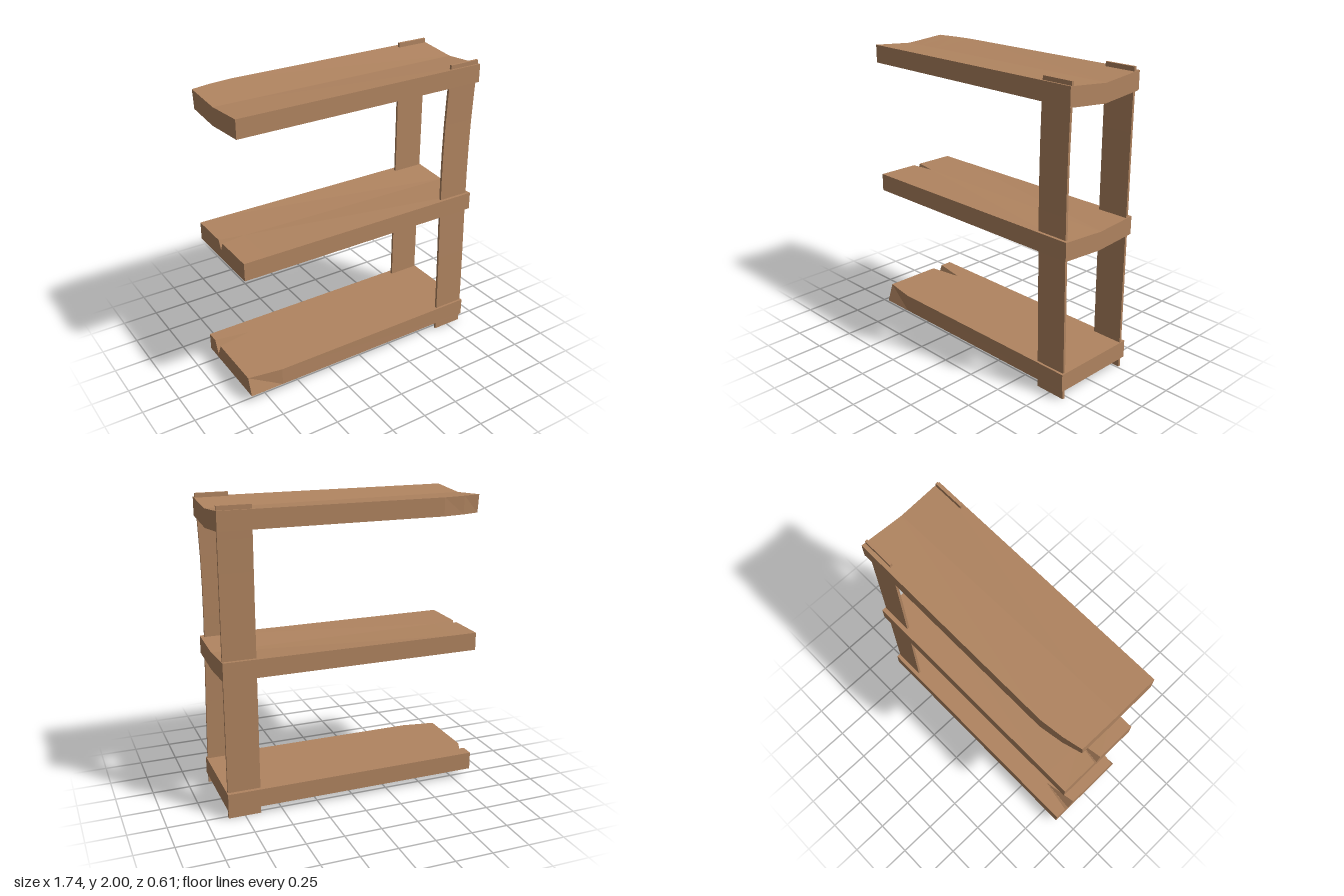
import * as THREE from 'three';

// Skin a row of cross-sections (each a loop of [z, y], anticlockwise seen from +x) laid along x.
function loft(sections) {
  const pos = [];
  const tri = (a, b, c) => {
    const area = b.clone().sub(a).cross(c.clone().sub(a)).length();
    if (area > 1e-7) for (const p of [a, b, c]) pos.push(p.x, p.y, p.z);
  };
  const rings = sections.map(s => s.loop.map(([z, y]) => new THREE.Vector3(s.x, y, z)));
  const n = rings[0].length;
  for (let i = 0; i + 1 < rings.length; i++) {
    for (let j = 0; j < n; j++) {
      const k = (j + 1) % n, a = rings[i], b = rings[i + 1];
      tri(a[j], a[k], b[k]);
      tri(a[j], b[k], b[j]);
    }
  }
  // End caps
  const cap = (ring, flip) => {
    const outline = ring.map(p => new THREE.Vector2(-p.z, p.y));
    for (const [a, b, c] of THREE.ShapeUtils.triangulateShape(outline, [])) {
      if (flip) tri(ring[a], ring[c], ring[b]);
      else tri(ring[a], ring[b], ring[c]);
    }
  };
  cap(rings[0], true);
  cap(rings[rings.length - 1], false);
  const geo = new THREE.BufferGeometry();
  geo.setAttribute('position', new THREE.Float32BufferAttribute(pos, 3));
  geo.computeVertexNormals();
  return geo;
}

const X0 = -0.87, X1 = 0.865, HALF = 0.305, THICK = 0.12;

// One plank: sag is its dip along the middle, split is the crack in the free end.
function shelfGeometry({ top, sag, split, chip = () => 0, bevel = 0, stations }) {
  return loft(stations.map(x => {
    const t = (x - X0) / (X1 - X0);
    const dip = sag[0] + (sag[1] - sag[0]) * t;
    const open = split ? Math.max(0, 1 - (x - X0) / split.length) : 0;
    const mid = split ? split.z : 0.02 * (1 - t);
    const w = split ? 0.5 * split.width * open : 0;
    const d = split ? split.depth * open : 0;
    const back = -HALF + chip(x);
    const front = HALF - bevel * Math.max(0, 1 - (x - X0) / 0.24);
    const y = top - dip;
    return { x, loop: [
      [back, top], [mid - w - 0.002, y], [mid, y - d], [mid + w + 0.002, y], [front, top],
      [HALF, top - THICK], [0, top - THICK - dip], [back + 0.3 * chip(x), top - THICK],
    ] };
  }));
}

// Thin upright board, bowed slightly along its height.
function postGeometry(z, bowX, bowZ) {
  const geo = new THREE.BoxGeometry(0.215, 2, 0.017, 1, 10, 1).toNonIndexed();
  const p = geo.attributes.position;
  for (let i = 0; i < p.count; i++) {
    const y = p.getY(i) + 1;
    const bend = Math.sin(Math.PI * Math.pow(y / 2, 1.7));
    p.setXYZ(i, p.getX(i) + 0.752 - bowX * bend, y, p.getZ(i) + z + bowZ * bend);
  }
  geo.computeVertexNormals();
  return geo;
}

export function createModel() {
  const wood = new THREE.MeshStandardMaterial({ color: 0xb08460 });
  wood.name = 'wood';
  const model = new THREE.Group();
  model.name = 'shelfUnit';
  const add = (name, geometry) => {
    const mesh = new THREE.Mesh(geometry, wood);
    mesh.name = name;
    model.add(mesh);
  };

  // Sagging top plank with a worn back corner
  add('topShelf', shelfGeometry({
    top: 1.975, sag: [0.022, 0.028], stations: [X0, -0.75, -0.6, X1],
    chip: x => 0.045 * Math.pow(Math.max(0, (-0.6 - x) / 0.27), 1.5),
  }));

  // Middle plank, flat and cracked at the free end, sagging at the posts
  add('middleShelf', shelfGeometry({
    top: 1.058, sag: [0, 0.02], stations: [X0, -0.71, X1],
    split: { z: -0.01, width: 0.05, depth: 0.06, length: 0.16 },
  }));

  // Flat bottom plank with a crack and a slanted front corner
  add('bottomShelf', shelfGeometry({
    top: 0.18, sag: [0, 0], stations: [X0, -0.64, X1], bevel: 0.04,
    split: { z: -0.18, width: 0.08, depth: 0.09, length: 0.23 },
  }));

  // Posts
  add('frontPost', postGeometry(0.281, 0.02, -0.006));
  add('backPost', postGeometry(-0.27, 0, 0.003));
  return model;
}
